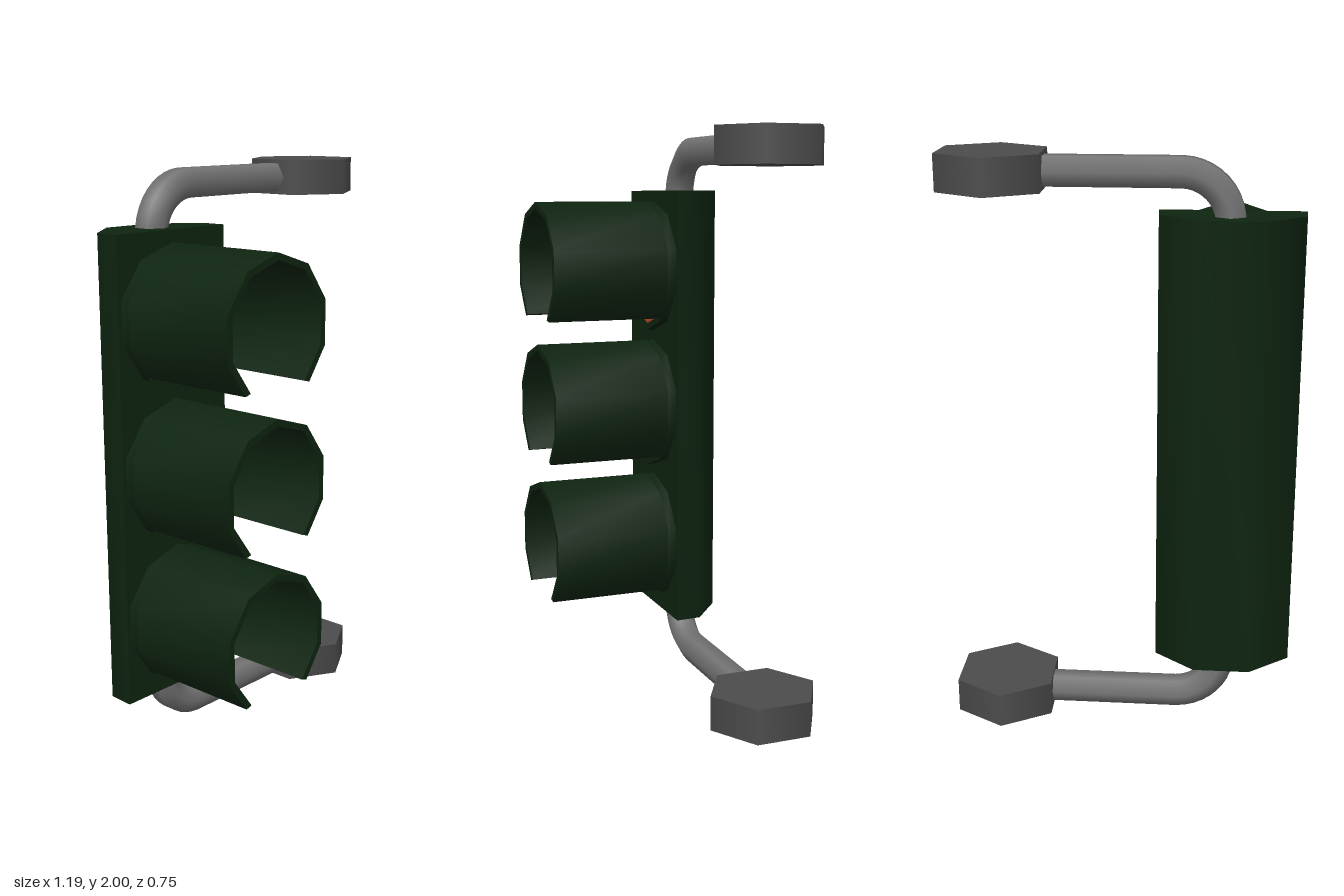
import * as THREE from 'three';
import { toCreasedNormals } from 'three/addons/utils/BufferGeometryUtils.js';

const mat = (name, color) => Object.assign(new THREE.MeshStandardMaterial({ color }), { name });

export function createModel() {
  const model = new THREE.Group();
  model.name = 'trafficLight';
  const housingGreen = mat('housing green', 0x0e2410);
  const poleGrey = mat('pole grey', 0x747474);
  const capGrey = mat('cap grey', 0x4c4c4c);
  const poleX = -0.353, poleZ = -0.183;

  const add = (parent, name, geometry, material) => {
    const mesh = new THREE.Mesh(geometry, material);
    mesh.name = name;
    parent.add(mesh);
    return mesh;
  };
  const extrude = (shape, depth) =>
    new THREE.ExtrudeGeometry(shape, { depth, bevelEnabled: false });

  // Housing: flat front, chamfered back
  const half = [[0.243, 0.082], [0.238, 0.175], [0.098, 0.288]];
  const outline = [...half, ...half.map(([x, y]) => [-x, y]).reverse()];
  const body = extrude(new THREE.Shape(outline.map(p => new THREE.Vector2(...p))), 1.593);
  body.rotateX(-Math.PI / 2);
  add(model, 'housing', toCreasedNormals(body, 1), housingGreen).position.set(poleX, 0.207, 0);

  // Ten-sided rim and an open-bottomed visor for each lamp
  const corner = (r, i) => {
    const a = i * Math.PI / 5;
    return new THREE.Vector2(r * Math.sin(a), r * Math.cos(a));
  };
  const decagon = r => Array.from({ length: 10 }, (_, i) => corner(r, i));
  const OUTER = 0.24, INNER = 0.217;
  const rimShape = new THREE.Shape(decagon(OUTER));
  rimShape.holes.push(new THREE.Path(decagon(INNER)));
  const rimGeo = toCreasedNormals(extrude(rimShape, 0.032), 1);

  const arc = r => Array.from({ length: 7 }, (_, i) => corner(r, i - 3));
  const cut = s => new THREE.Vector2(s * 0.151, -0.182);
  const visorShape = new THREE.Shape([
    cut(-1), ...arc(OUTER), cut(1),
    corner(INNER, 4), ...arc(INNER).reverse(), corner(INNER, -4),
  ]);
  const visorGeo = toCreasedNormals(extrude(visorShape, 0.425), 1);
  const lensGeo = new THREE.CircleGeometry(INNER, 10, Math.PI / 2);

  const lamps = [
    ['red', 0xbc4724, 1.52],
    ['amber', 0xcd8c23, 1.003],
    ['green', 0x3fa951, 0.487],
  ];
  for (const [colour, hex, y] of lamps) {
    const lamp = new THREE.Group();
    lamp.name = colour + 'Lamp';
    lamp.position.set(poleX, y, 0);
    add(lamp, 'rim', rimGeo, housingGreen).position.z = -0.082;
    add(lamp, 'visor', visorGeo, housingGreen).position.z = -0.05;
    add(lamp, 'lens', lensGeo, mat(colour + ' lens', hex)).position.z = -0.06;
    model.add(lamp);
  }

  // Bent arms and hexagonal mounting caps, top and bottom
  for (const [side, s] of [['upper', 1], ['lower', -1]]) {
    const at = (x, y) => new THREE.Vector3(x, 1 + s * y, poleZ);
    const path = new THREE.CurvePath();
    path.add(new THREE.LineCurve3(at(poleX + 0.005, 0.72), at(poleX + 0.005, 0.775)));
    path.add(new THREE.CubicBezierCurve3(
      at(poleX + 0.005, 0.775), at(poleX + 0.005, 0.865), at(-0.275, 0.938), at(-0.185, 0.938)));
    path.add(new THREE.LineCurve3(at(-0.185, 0.938), at(0.32, 0.938)));
    add(model, side + 'Arm', new THREE.TubeGeometry(path, 32, 0.056, 6), poleGrey);
    add(model, side + 'Cap', new THREE.CylinderGeometry(0.194, 0.194, 0.122, 6), capGrey)
      .position.set(0.423, 1 + s * 0.939, poleZ);
  }
  return model;
}
